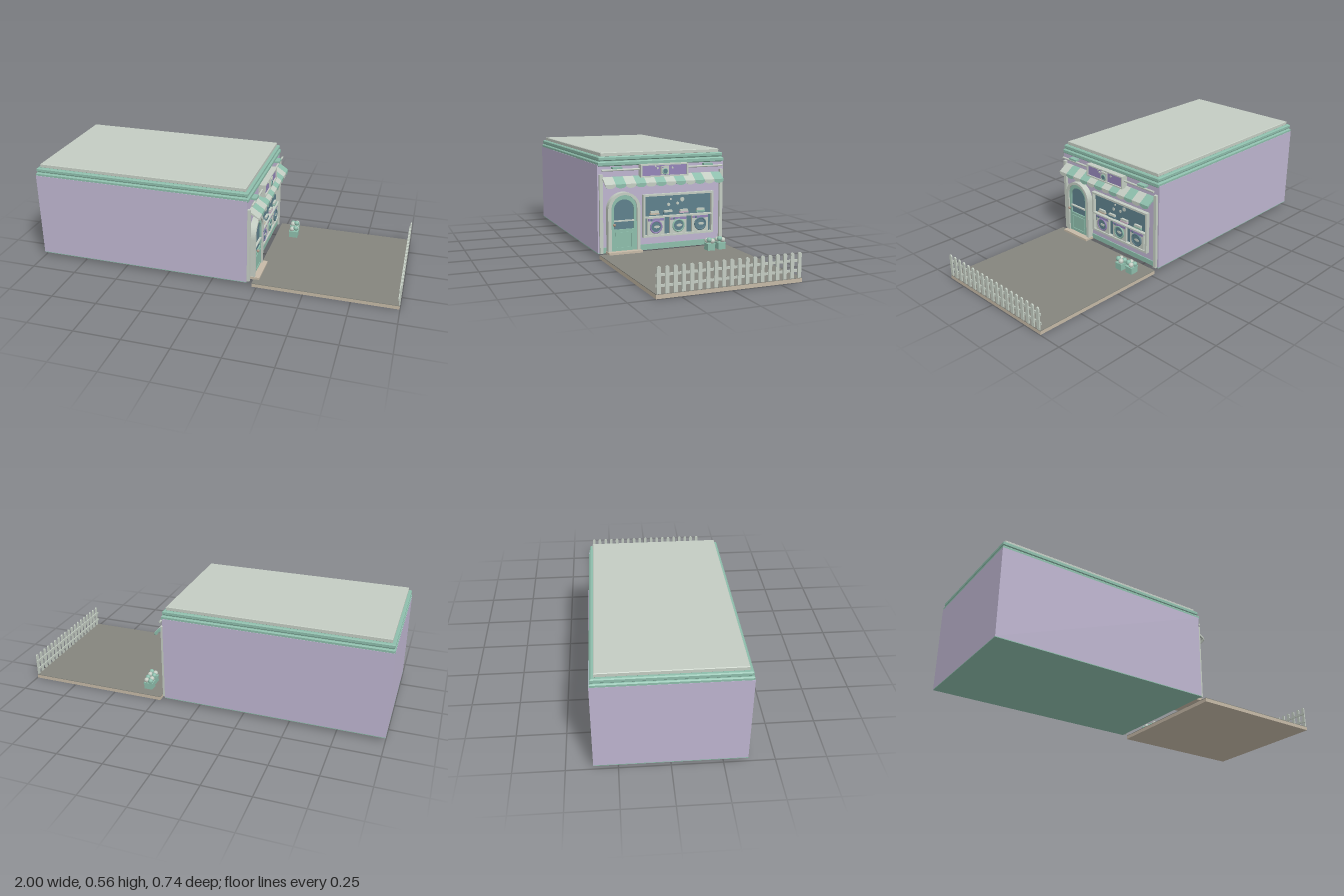
import * as THREE from 'three';

const mat = (name, color, extra = {}) => Object.assign(new THREE.MeshStandardMaterial({ color, ...extra }), { name });
const M = {
  cream: mat('pale sage', 0xc3ccc2),
  lilac: mat('lilac', 0xbdb4cf),
  green: mat('mint green', 0x8dbdab),
  teal: mat('teal glass', 0x5e808c),
  purple: mat('purple', 0x9484b8),
  tan: mat('tan', 0xc5b9a6),
  grey: mat('paving grey', 0x84857d),
  pink: mat('dusty pink', 0xcbb2c4),
  brown: mat('knob brown', 0xa89080),
};

function add(parent, name, geo, material, x = 0, y = 0, z = 0) {
  const m = new THREE.Mesh(geo, material);
  m.name = name;
  m.position.set(x, y, z);
  parent.add(m);
  return m;
}
// box given by its limits
const box = (p, name, material, x0, x1, y0, y1, z0, z1) =>
  add(p, name, new THREE.BoxGeometry(x1 - x0, y1 - y0, z1 - z0), material, (x0 + x1) / 2, (y0 + y1) / 2, (z0 + z1) / 2);
// flat shape extruded from z0 to z1
const plate = (p, name, material, shape, z0, z1, x = 0, y = 0) =>
  add(p, name, new THREE.ExtrudeGeometry(shape, { depth: z1 - z0, bevelEnabled: false, curveSegments: 16 }), material, x, y, z0);
// disc facing local z
const disc = (p, name, material, r, x, y, z0, z1) => {
  const d = add(p, name, new THREE.CylinderGeometry(r, r, z1 - z0, 24), material, x, y, (z0 + z1) / 2);
  d.rotation.x = Math.PI / 2;
  return d;
};
function rectShape(x0, x1, y0, y1) {
  const s = new THREE.Shape();
  s.moveTo(x0, y0).lineTo(x1, y0).lineTo(x1, y1).lineTo(x0, y1).closePath();
  return s;
}
// round-topped doorway outline centred on x = 0
function arch(r, bottom, centre) {
  const s = new THREE.Shape();
  s.moveTo(-r, bottom).lineTo(r, bottom).lineTo(r, centre);
  s.absarc(0, centre, r, 0, Math.PI, false);
  s.closePath();
  return s;
}
// rectangular frame with an opening
function frame(p, name, material, x0, x1, y0, y1, t, z0, z1) {
  const s = rectShape(x0, x1, y0, y1);
  s.holes.push(rectShape(x0 + t, x1 - t, y0 + t, y1 - t));
  return plate(p, name, material, s, z0, z1);
}
// roof course with chamfered edges
function course(p, name, material, x0, x1, halfZ, y0, y1, b) {
  const g = new THREE.ExtrudeGeometry(rectShape(x0 + b, x1 - b, -halfZ + b, halfZ - b),
    { depth: y1 - y0 - 2 * b, bevelEnabled: true, bevelSize: b, bevelThickness: b, bevelSegments: 1 });
  g.rotateX(-Math.PI / 2);
  return add(p, name, g, material, 0, y0 + b, 0);
}

function buildBuilding(root) {
  const g = new THREE.Group();
  g.name = 'building';
  root.add(g);
  box(g, 'walls', M.lilac, -1, 0.195, 0.024, 0.495, -0.368, 0.368);
  box(g, 'floor', M.green, -1, 0.195, 0.02, 0.024, -0.368, 0.368);
  course(g, 'lowerCornice', M.green, -0.999, 0.202, 0.366, 0.486, 0.511, 0.005);
  course(g, 'corniceGap', M.green, -0.99, 0.192, 0.355, 0.508, 0.518, 0.001);
  course(g, 'upperCornice', M.green, -0.996, 0.197, 0.361, 0.514, 0.537, 0.005);
  course(g, 'roof', M.cream, -0.98, 0.182, 0.344, 0.535, 0.557, 0.003);
}

function buildDoor(f) {
  const g = new THREE.Group();
  g.name = 'door';
  g.position.x = -0.23;
  f.add(g);
  const surround = arch(0.091, 0.024, 0.257);
  surround.holes.push(arch(0.072, 0.024, 0.262));
  plate(g, 'doorSurround', M.cream, surround, 0.19, 0.23);
  const leaf = arch(0.072, 0.024, 0.262);
  leaf.holes.push(arch(0.057, 0.15, 0.253));
  plate(g, 'doorLeaf', M.green, leaf, 0.19, 0.222);
  plate(g, 'doorGlass', M.teal, arch(0.058, 0.149, 0.253), 0.19, 0.215);
  box(g, 'doorBar', M.cream, -0.057, 0.057, 0.192, 0.199, 0.21, 0.226);
  frame(g, 'doorLowerPanel', M.green, -0.05, 0.05, 0.045, 0.135, 0.008, 0.22, 0.226);
  add(g, 'doorKnob', new THREE.SphereGeometry(0.008, 16, 12), M.brown, -0.059, 0.178, 0.237);
  box(g, 'doorStep', M.tan, -0.095, 0.095, 0.02, 0.034, 0.19, 0.255);
}

function buildWasher(f, x, ring) {
  const g = new THREE.Group();
  g.name = 'washer';
  g.position.x = x;
  f.add(g);
  box(g, 'washerBody', M.cream, -0.05, 0.05, 0.1, 0.196, 0.197, 0.21);
  box(g, 'washerPanel', M.purple, -0.046, 0.046, 0.179, 0.192, 0.209, 0.213);
  disc(g, 'washerDial', M.teal, 0.006, -0.028, 0.185, 0.212, 0.216);
  add(g, 'washerRing', new THREE.TorusGeometry(0.032, 0.005, 8, 32), ring, 0, 0.146, 0.212);
  disc(g, 'washerGlass', M.teal, 0.03, 0, 0.146, 0.209, 0.214);
  const clothes = disc(g, 'laundry', M.cream, 0.017, 0.004, 0.147, 0.213, 0.216);
  clothes.scale.z = 0.45;
}

function buildWindow(f) {
  const g = new THREE.Group();
  g.name = 'shopWindow';
  f.add(g);
  box(g, 'windowGlass', M.teal, -0.112, 0.294, 0.098, 0.32, 0.19, 0.198);
  frame(g, 'windowFrame', M.cream, -0.118, 0.3, 0.092, 0.326, 0.011, 0.19, 0.217);
  box(g, 'counter', M.cream, -0.108, 0.29, 0.197, 0.205, 0.19, 0.218);
  [[-0.042, M.purple], [0.091, M.green], [0.223, M.teal]].forEach(([x, ring]) => buildWasher(g, x, ring));
  // folded stacks on the counter
  [[-0.048, M.tan], [0.031, M.teal], [0.125, M.pink], [0.226, M.green]].forEach(([x, c]) => {
    box(g, 'foldedCloth', c, x - 0.026, x + 0.026, 0.213, 0.222, 0.197, 0.212);
    box(g, 'foldedTop', M.cream, x - 0.023, x + 0.023, 0.222, 0.233, 0.197, 0.21);
  });
  [[0.037, 0.263, 0.009], [0.05, 0.292, 0.006], [0.09, 0.267, 0.008], [0.118, 0.287, 0.012]]
    .forEach(([x, y, r]) => disc(g, 'bubble', M.cream, r, x, y, 0.197, 0.201));
}

function buildAwning(f) {
  const g = new THREE.Group();
  g.name = 'awning';
  f.add(g);
  const n = 12, w = 0.686 / n, h = w / 2;
  // sloped cloth in side section, turned to run across the front
  const side = new THREE.Shape();
  side.moveTo(0.193, 0.43).lineTo(0.203, 0.43).lineTo(0.254, 0.395).lineTo(0.249, 0.391).lineTo(0.193, 0.424).closePath();
  const cloth = new THREE.ExtrudeGeometry(side, { depth: w, bevelEnabled: false });
  cloth.rotateY(-Math.PI / 2);
  const flap = new THREE.Shape();
  flap.moveTo(-h, 0.396).lineTo(-h, 0.388);
  flap.bezierCurveTo(-h * 0.8, 0.37, h * 0.8, 0.37, h, 0.388);
  flap.lineTo(h, 0.396).closePath();
  for (let i = 0; i < n; i++) {
    const x = -0.343 + (i + 0.5) * w, c = i % 2 ? M.green : M.cream;
    add(g, 'awningStripe', cloth, c, x + h);
    plate(g, 'awningScallop', c, flap, 0.25, 0.254, x);
  }
}

function buildSign(f) {
  const g = new THREE.Group();
  g.name = 'sign';
  f.add(g);
  box(g, 'signBoard', M.purple, -0.131, 0.131, 0.428, 0.486, 0.19, 0.226);
  frame(g, 'signFrame', M.cream, -0.137, 0.137, 0.422, 0.491, 0.007, 0.19, 0.234);
  box(g, 'signWasher', M.cream, -0.022, 0.022, 0.433, 0.479, 0.22, 0.236);
  add(g, 'signWasherRing', new THREE.TorusGeometry(0.014, 0.003, 8, 24), M.green, 0, 0.451, 0.237);
  disc(g, 'signWasherGlass', M.teal, 0.013, 0, 0.451, 0.234, 0.239);
  box(g, 'signWasherButton', M.purple, -0.018, -0.012, 0.47, 0.474, 0.235, 0.238);
  [[-0.04, 0.468, 0.006], [-0.052, 0.478, 0.004], [0.047, 0.467, 0.005]]
    .forEach(([x, y, r]) => disc(g, 'signBubble', M.cream, r, x, y, 0.224, 0.23));
}

function buildYard(root) {
  const g = new THREE.Group();
  g.name = 'yard';
  root.add(g);
  box(g, 'yardSlab', M.tan, 0.224, 0.998, 0, 0.019, -0.368, 0.368);
  box(g, 'yardPaving', M.grey, 0.224, 0.998, 0.019, 0.022, -0.368, 0.368);
  // picket fence on the far edge
  const fence = new THREE.Group();
  fence.name = 'fence';
  fence.rotation.y = Math.PI / 2;
  g.add(fence);
  const picket = arch(0.009, 0.022, 0.135);
  for (let i = 0; i < 19; i++) plate(fence, 'picket', M.cream, picket, 0.992, 0.999, -0.354 + i * 0.0393);
  for (const y of [0.056, 0.104]) box(fence, 'fenceRail', M.cream, -0.367, 0.367, y - 0.006, y + 0.006, 0.987, 0.992);
  // potted shrubs
  for (const [x, z] of [[0.32, -0.292], [0.328, -0.225]]) {
    const pot = new THREE.Group();
    pot.name = 'planter';
    pot.position.set(x, 0.022, z);
    g.add(pot);
    box(pot, 'planterBox', M.green, -0.024, 0.024, 0, 0.034, -0.021, 0.021);
    box(pot, 'planterRim', M.green, -0.026, 0.026, 0.032, 0.038, -0.023, 0.023);
    for (const [dx, dy, dz, c] of [[-0.012, 0.047, -0.011, M.green], [0.013, 0.05, -0.009, M.cream], [-0.01, 0.051, 0.012, M.cream], [0.012, 0.058, 0.01, M.green]])
      add(pot, 'shrub', new THREE.SphereGeometry(0.014, 14, 10), c, dx, dy, dz);
  }
}

export function createModel() {
  const root = new THREE.Group();
  root.name = 'laundryShop';
  buildBuilding(root);
  // shop front: local x runs to -z, local z runs to +x
  const f = new THREE.Group();
  f.name = 'shopFront';
  f.rotation.y = Math.PI / 2;
  root.add(f);
  box(f, 'baseboard', M.green, -0.342, 0.342, 0.024, 0.052, 0.19, 0.2);
  for (const s of [-1, 1]) {
    box(f, 'pilaster', M.cream, s * 0.351 - 0.009, s * 0.351 + 0.009, 0.024, 0.444, 0.19, 0.21);
    const rail = add(f, 'lampRail', new THREE.CylinderGeometry(0.0055, 0.0055, 0.21, 12), M.cream, s * 0.245, 0.467, 0.217);
    rail.rotation.z = Math.PI / 2;
    box(f, 'railBracket', M.green, s * 0.264 - 0.027, s * 0.264 + 0.027, 0.472, 0.482, 0.19, 0.224);
  }
  buildDoor(f);
  buildWindow(f);
  buildAwning(f);
  buildSign(f);
  buildYard(root);
  return root;
}
